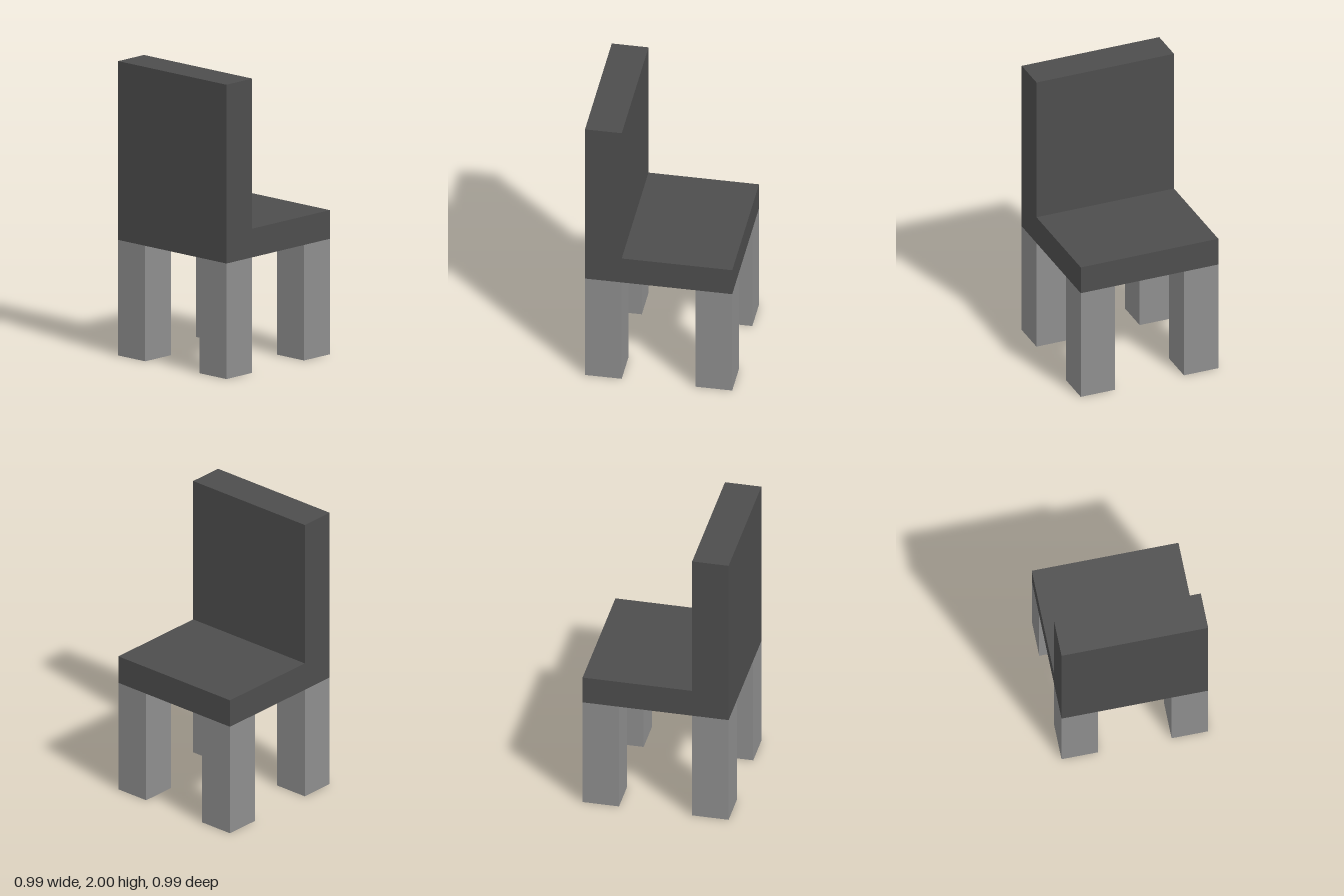
import * as THREE from 'three';

const HALF = 0.495;       // half width and half depth
const LEG = 0.247;        // leg side, also the backrest thickness
const SEAT_BOTTOM = 0.785;
const SEAT_TOP = 0.98;
const TOP = 2;

export function createModel() {
  const model = new THREE.Group();
  model.name = 'chair';

  const darkMaterial = new THREE.MeshStandardMaterial({ color: 0x4d4d4d });
  const legMaterial = new THREE.MeshStandardMaterial({ color: 0x8e8e8e });

  // Seat and backrest: one L-shaped profile, backrest on the -x side
  const profile = new THREE.Shape([
    [-HALF, SEAT_BOTTOM], [HALF, SEAT_BOTTOM], [HALF, SEAT_TOP],
    [-HALF + LEG, SEAT_TOP], [-HALF + LEG, TOP], [-HALF, TOP],
  ].map(([x, y]) => new THREE.Vector2(x, y)));
  const seatGeometry = new THREE.ExtrudeGeometry(profile, { depth: 2 * HALF, bevelEnabled: false });
  seatGeometry.translate(0, 0, -HALF);
  const seat = new THREE.Mesh(seatGeometry, darkMaterial);
  seat.name = 'seatAndBackrest';
  model.add(seat);

  // Four square legs flush with the seat corners
  const legGeometry = new THREE.BoxGeometry(LEG, SEAT_BOTTOM, LEG);
  const offset = HALF - LEG / 2;
  for (const x of [-1, 1]) {
    for (const z of [-1, 1]) {
      const leg = new THREE.Mesh(legGeometry, legMaterial);
      leg.name = (z > 0 ? 'front' : 'back') + (x > 0 ? 'Left' : 'Right') + 'Leg';
      leg.position.set(x * offset, SEAT_BOTTOM / 2, z * offset);
      model.add(leg);
    }
  }

  return model;
}
